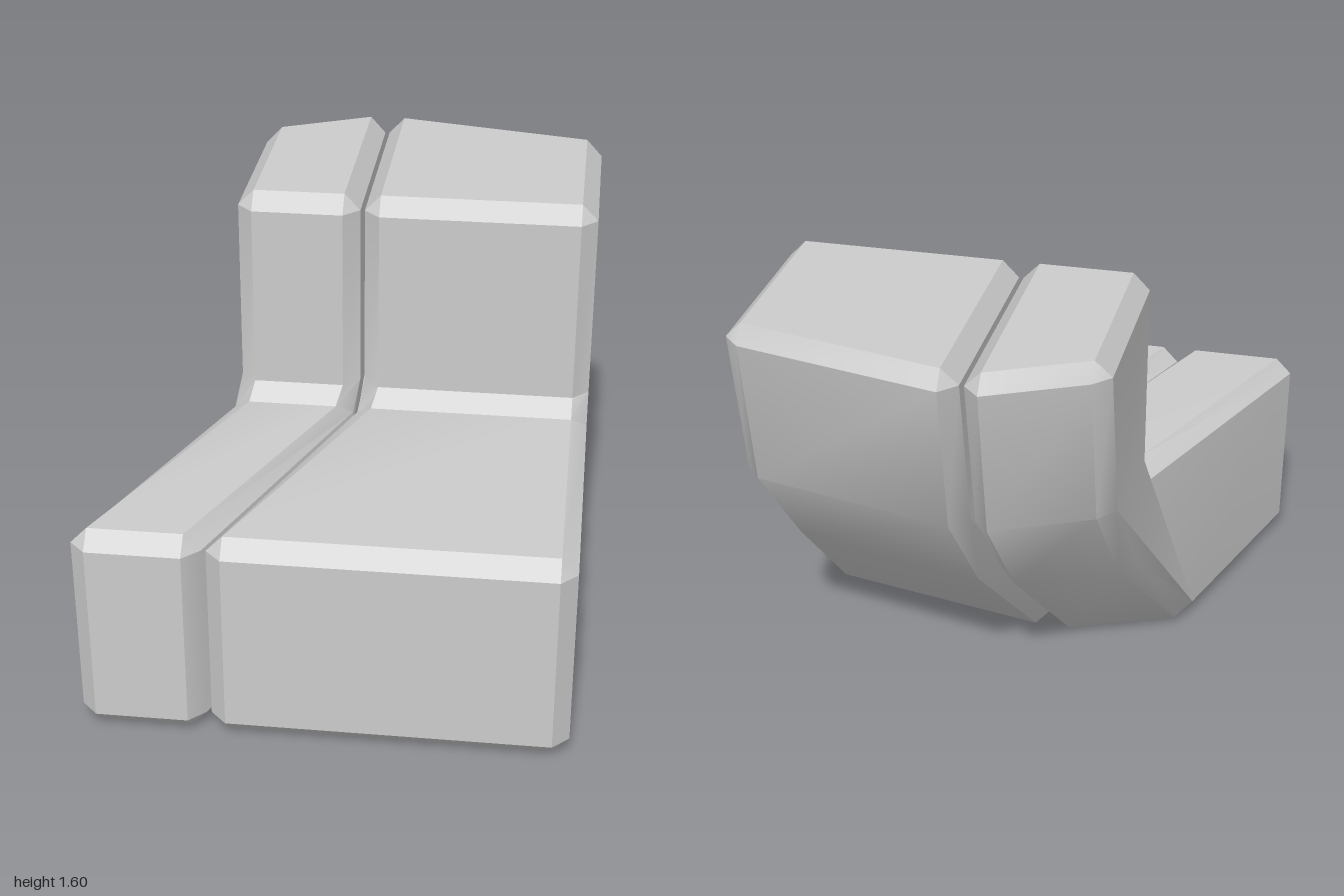
import * as THREE from 'three';
import { toCreasedNormals } from 'three/addons/utils/BufferGeometryUtils.js';

// Side profile, going up the front, over the top and down the back.
// z, y: bevelled band; capZ, capY: inset side face; back: 1 where the slanted rear applies;
// split: x of the gap between blocks; edge: x of the narrow block's outer side.
const STATIONS = [
  [1.00, 0.06, 0.94, 0.06, 0, -0.40, -0.85],
  [1.00, 0.72, 0.94, 0.72, 0, -0.40, -0.855],
  [0.94, 0.78, 0.94, 0.72, 0, -0.40, -0.855],
  [0.00, 0.80, -0.06, 0.75, 0, -0.01, -0.46],
  [-0.06, 0.86, -0.12, 0.86, 0, 0.01, -0.445],
  [-0.06, 1.54, -0.12, 1.54, 0, 0.01, -0.445],
  [-0.12, 1.60, -0.12, 1.54, 0, 0.01, -0.445],
  [-0.79, 1.60, -0.78, 1.54, 1, 0.01, -0.445],
  [-0.84, 1.54, -0.78, 1.54, 1, 0.01, -0.445],
  [-0.74, 0.98, -0.67, 0.98, 1, 0.01, -0.45],
  [-0.36, 0.53, -0.30, 0.55, 1, 0.01, -0.46],
  [0.12, 0.03, 0.20, 0.06, 1, -0.09, -0.60],
  [0.20, 0.00, 0.20, 0.06, 1, -0.09, -0.60],
  [0.94, 0.00, 0.94, 0.06, 0, -0.40, -0.85],
];
const BEVEL = 0.058;
const GAP = 0.008;
const SLANT = 0.16; // the rear reaches further back beside the gap

function blockGeometry(wide) {
  // four columns across x: low cap, low band edge, high band edge, high cap
  const rings = STATIONS.map(([z, y, cz, cy, back, split, edge]) => {
    const lo = wide ? split + GAP : edge;
    const hi = wide ? 0.855 : split - GAP;
    const shiftLo = wide ? -SLANT * back : 0;
    const shiftHi = wide ? 0 : -SLANT * back;
    return [
      new THREE.Vector3(lo, cy, cz + shiftLo),
      new THREE.Vector3(lo + BEVEL, y, z + shiftLo),
      new THREE.Vector3(hi - BEVEL, y, z + shiftHi),
      new THREE.Vector3(hi, cy, cz + shiftHi),
    ];
  });

  const positions = [];
  const tri = (a, b, c) => {
    const area = new THREE.Triangle(a, b, c).getArea();
    if (area > 1e-7) for (const p of [a, b, c]) positions.push(p.x, p.y, p.z);
  };

  // band and bevels around the profile
  rings.forEach((r, i) => {
    const n = rings[(i + 1) % rings.length];
    for (let c = 0; c < 3; c++) {
      tri(r[c], r[c + 1], n[c + 1]);
      tri(r[c], n[c + 1], n[c]);
    }
  });

  // side faces
  for (const [column, facing] of [[0, -1], [3, 1]]) {
    const points = rings.map((r) => r[column])
      .filter((p, i, all) => p.distanceTo(all[(i + 1) % all.length]) > 1e-4);
    const flat = points.map((p) => new THREE.Vector2(-p.z, p.y));
    for (const [a, b, c] of THREE.ShapeUtils.triangulateShape(flat, [])) {
      const turn = THREE.ShapeUtils.area([flat[a], flat[b], flat[c]]);
      if (turn * facing > 0) tri(points[a], points[b], points[c]);
      else tri(points[a], points[c], points[b]);
    }
  }

  const geometry = new THREE.BufferGeometry();
  geometry.setAttribute('position', new THREE.Float32BufferAttribute(positions, 3));
  return toCreasedNormals(geometry, 0.6);
}

export function createModel() {
  const group = new THREE.Group();
  group.name = 'steppedBlocks';
  const material = new THREE.MeshStandardMaterial({ color: 0xcccccc });
  for (const [name, wide] of [['wideBlock', true], ['narrowBlock', false]]) {
    const mesh = new THREE.Mesh(blockGeometry(wide), material);
    mesh.name = name;
    group.add(mesh);
  }
  return group;
}
